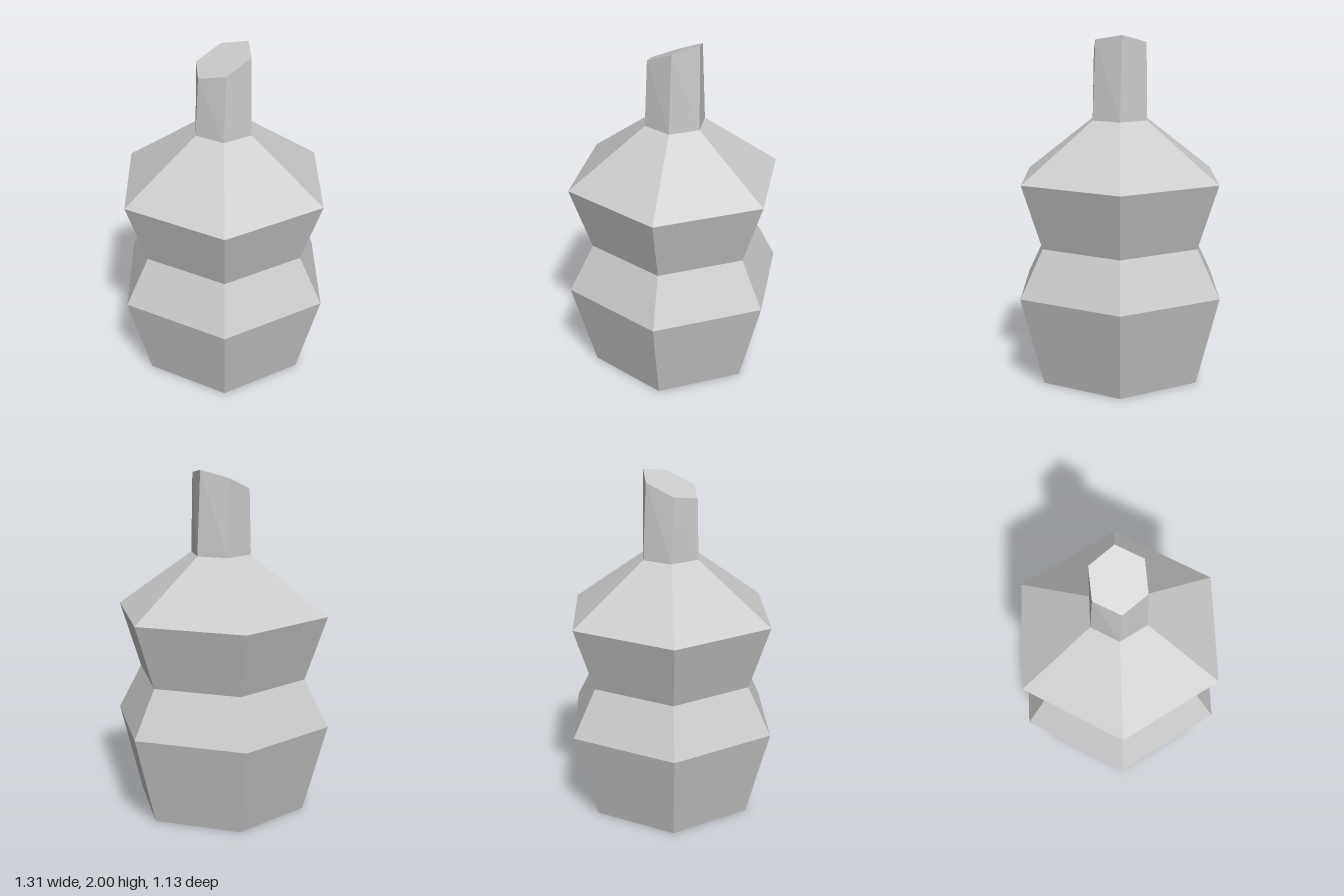
import * as THREE from 'three';

const SIDES = 6;

// Six-sided turned solid from [radius, height] pairs, listed bottom to top
function turned(name, profile, material) {
  const points = profile.map(([r, y]) => new THREE.Vector2(r, y));
  const mesh = new THREE.Mesh(new THREE.LatheGeometry(points, SIDES, Math.PI / 2), material);
  mesh.name = name;
  return mesh;
}

export function createModel() {
  const group = new THREE.Group();
  group.name = 'gourd';
  const material = new THREE.MeshStandardMaterial({ color: 0xcccccc, flatShading: true });

  // Body: two stacked bulges with a waist, sloping in to the stem
  group.add(turned('body', [
    [0, 0], [0.51, 0], [0.653, 0.525], [0.508, 0.8], [0.638, 1.18], [0.18, 1.515],
  ], material));

  // Stem: tapered, slightly twisted, with a slanted cut on top
  const stem = turned('stem', [[0.18, 1.515], [0.167, 1.932], [0, 1.932]], material);
  const pos = stem.geometry.attributes.position;
  const twist = THREE.MathUtils.degToRad(4.2);
  const v = new THREE.Vector3();
  for (let i = 0; i < pos.count; i++) {
    v.fromBufferAttribute(pos, i);
    if (v.y < 1.9) continue;
    v.applyAxisAngle(THREE.Object3D.DEFAULT_UP, twist);
    v.y += 0.227 * v.x - 0.35 * v.z;
    pos.setXYZ(i, v.x, v.y, v.z);
  }
  stem.geometry.computeVertexNormals();
  group.add(stem);

  return group;
}
